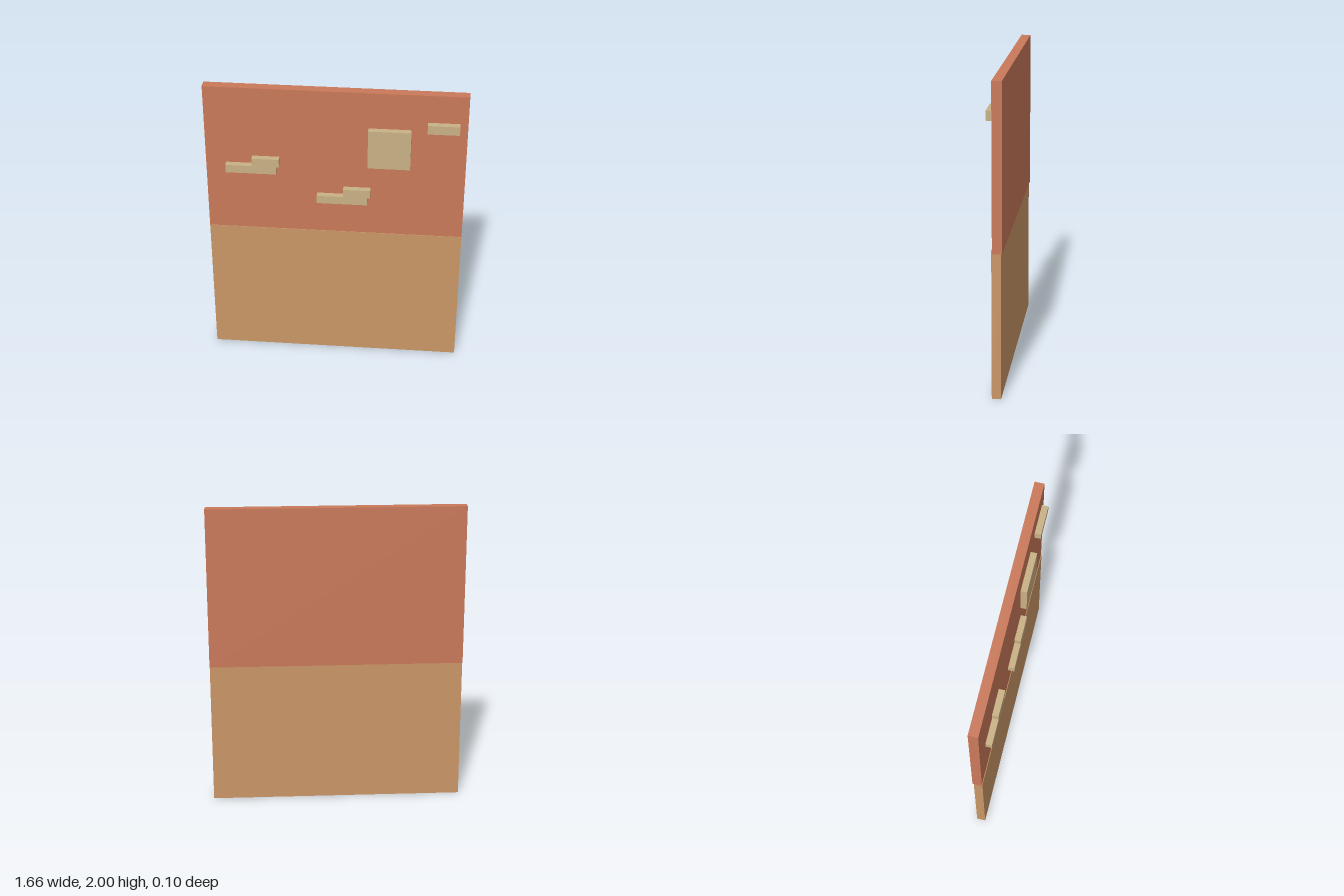
import * as THREE from 'three';

export function createModel() {
  const model = new THREE.Group();
  const material = (name, color) => {
    const m = new THREE.MeshStandardMaterial({ color });
    m.name = name;
    return m;
  };
  const terracotta = material('terracotta', 0xca795a);
  const sand = material('sand', 0xca9767);
  const cream = material('cream', 0xc9b185);

  // Box given by its limits on each axis
  const slab = (name, mat, [x0, x1], [y0, y1], [z0, z1], parent = model) => {
    const mesh = new THREE.Mesh(new THREE.BoxGeometry(x1 - x0, y1 - y0, z1 - z0), mat);
    mesh.position.set((x0 + x1) / 2, (y0 + y1) / 2, (z0 + z1) / 2);
    mesh.name = name;
    parent.add(mesh);
  };

  // Backdrop: the ground panel stands slightly proud of the sky panel
  slab('skyPanel', terracotta, [-0.83, 0.83], [0.945, 2], [-0.052, 0.01]);
  slab('groundPanel', sand, [-0.829, 0.829], [0, 0.968], [-0.044, 0.014]);

  // Raised pieces on the sky
  const relief = [0.01, 0.051];
  slab('sun', cream, [0.21, 0.48], [1.485, 1.753], relief);
  slab('smallCloud', cream, [0.58, 0.78], [1.752, 1.812], relief);

  // Stepped clouds: a long lower bar with a short bar set on its end
  [['rightCloud', -0.7, 1.406], ['middleCloud', -0.115, 1.205]].forEach(([name, x, y]) => {
    const cloud = new THREE.Group();
    cloud.name = name;
    slab('cloudBase', cream, [x, x + 0.325], [y, y + 0.055], relief, cloud);
    slab('cloudTop', cream, [x + 0.17, x + 0.345], [y + 0.055, y + 0.11], relief, cloud);
    // Link the overhanging top down over the end of the base
    model.add(cloud);
  });

  return model;
}
